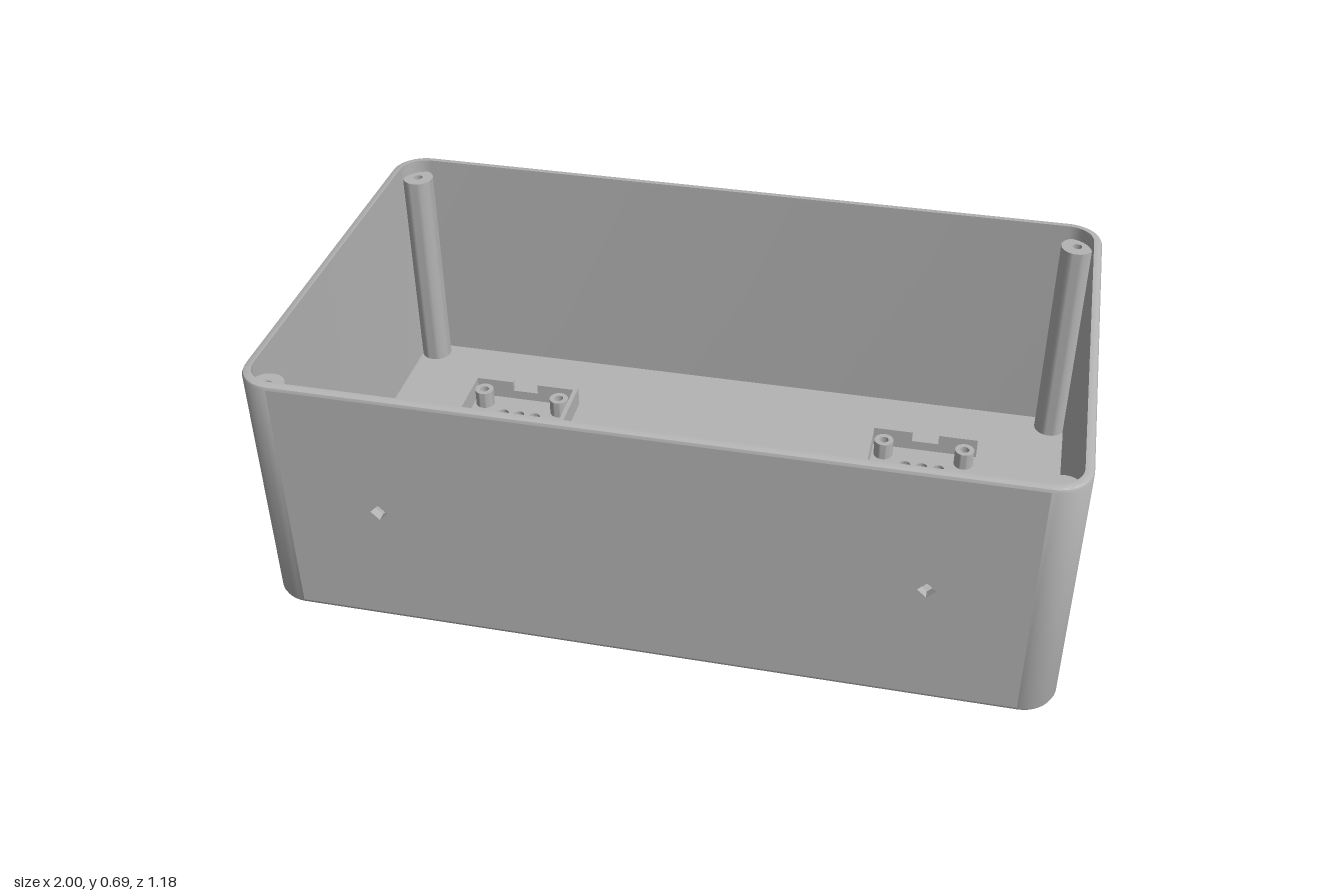
import * as THREE from 'three';
import { toCreasedNormals } from 'three/addons/utils/BufferGeometryUtils.js';

const W = 1, D = 0.59, H = 0.685, R = 0.09;   // half width, half depth, height, corner radius
const WALL = 0.022, FLOOR = 0.04, BEVEL = 0.013;
const N = 10;                                 // segments per rounded corner

// Rounded rectangle, pulled in by an inset
function outline(inset) {
  const pts = [], r = R - inset;
  [[1, 1], [-1, 1], [-1, -1], [1, -1]].forEach(([sx, sy], c) => {
    for (let i = 0; i <= N; i++) {
      const a = (c + i / N) * Math.PI / 2;
      pts.push(new THREE.Vector2(sx * (W - R) + r * Math.cos(a), sy * (D - R) + r * Math.sin(a)));
    }
  });
  return pts;
}

function circle(x, y, r, sides) {
  const pts = [];
  for (let i = 0; i < sides; i++) {
    const a = i / sides * Math.PI * 2;
    pts.push(new THREE.Vector2(x + r * Math.cos(a), y + r * Math.sin(a)));
  }
  return pts;
}

function plate(points, holes, depth) {
  const shape = new THREE.Shape(points);
  holes.forEach(h => shape.holes.push(new THREE.Path(h)));
  return toCreasedNormals(new THREE.ExtrudeGeometry(shape, { depth, bevelEnabled: false }), 0.7);
}

// Outer skin, rim and inner skin; the flat front is left open for the drilled panel
function shellGeometry() {
  const profile = [[BEVEL, 0], [0.004, 0.004], [0, BEVEL], [0, H - 0.01], [0.003, H - 0.003],
    [0.009, H], [WALL, H], [WALL, H - 0.01], [WALL, FLOOR - 0.01]];
  const rings = profile.map(([inset, y]) => outline(inset).map(p => [p.x, y, p.y]));
  const pos = [], n = rings[0].length;
  for (let j = 0; j < rings.length - 1; j++) {
    for (let i = 0; i < n; i++) {
      if (i === N && (j === 2 || j === 7)) continue;
      const k = (i + 1) % n;
      const a = rings[j][i], b = rings[j + 1][i], c = rings[j + 1][k], d = rings[j][k];
      pos.push(...a, ...b, ...d, ...b, ...c, ...d);
    }
  }
  const g = new THREE.BufferGeometry();
  g.setAttribute('position', new THREE.Float32BufferAttribute(pos, 3));
  g.computeVertexNormals();
  return toCreasedNormals(g, 0.6);
}

export function createModel() {
  const model = new THREE.Group();
  model.name = 'speakerEnclosure';
  const grey = new THREE.MeshStandardMaterial({ color: 0xb4b4b4 });
  grey.name = 'grey plastic';

  function add(parent, name, geometry, x = 0, y = 0, z = 0) {
    const mesh = new THREE.Mesh(geometry, grey);
    mesh.name = name;
    mesh.position.set(x, y, z);
    parent.add(mesh);
    return mesh;
  }

  // Hollow screw post standing on the floor
  function addPost(parent, name, x, z, r, top) {
    const base = FLOOR - 0.005;
    const g = plate(circle(0, 0, r, 28), [circle(0, 0, 0.013, 16)], top - base);
    g.rotateX(-Math.PI / 2);
    add(parent, name, g, x, base, z);
  }

  add(model, 'walls', shellGeometry());

  // Front panel with two diamond cable holes
  const px = W - R, y0 = BEVEL, y1 = H - 0.01;
  const corners = [[-px, y0], [px, y0], [px, y1], [-px, y1]].map(p => new THREE.Vector2(...p));
  add(model, 'frontPanel',
    plate(corners, [-1, 1].map(s => circle(s * 0.667, 0.345, 0.022, 4)), WALL), 0, 0, D - WALL);

  // Floor with the centre opening and two perforated grilles
  const gx = 0.593, pitch = 0.0476;
  const holes = [circle(0, 0, 0.214, 64)];
  for (const s of [-1, 1]) {
    for (let row = 0; row < 12; row++) {
      const reach = row === 0 || row === 11 ? 1 : 2;
      for (let col = -reach; col <= reach; col++) {
        holes.push(circle(s * gx + col * pitch, (row - 5.5) * pitch, 0.0165, 14));
      }
    }
  }
  const floor = plate(outline(BEVEL), holes, FLOOR);
  floor.rotateX(-Math.PI / 2);
  add(model, 'floor', floor);

  // Lid screw posts, one in each corner
  for (const sx of [-1, 1]) {
    for (const sz of [-1, 1]) addPost(model, 'lidPost', sx * 0.938, sz * 0.528, 0.043, H - 0.037);
  }

  // Raised speaker frames with notched ends and four small posts each
  const hx = 0.16, hz = 0.352, t = 0.013, fh = 0.06, notch = 0.0375;
  for (const s of [-1, 1]) {
    const frame = new THREE.Group();
    frame.name = 'speakerFrame';
    frame.position.x = s * gx;
    model.add(frame);
    for (const e of [-1, 1]) {
      const y = FLOOR + fh / 2 - 0.002;
      add(frame, 'frameSide', new THREE.BoxGeometry(t, fh, hz * 2), e * (hx - t / 2), y, 0);
      for (const q of [-1, 1]) {
        const len = hx - t - notch;
        add(frame, 'frameEnd', new THREE.BoxGeometry(len, fh, t), q * (notch + len / 2), y, e * (hz - t / 2));
        addPost(frame, 'speakerPost', e * 0.114, q * 0.3, 0.027, FLOOR + 0.05);
      }
      add(frame, 'frameNotch', new THREE.BoxGeometry(notch * 2, fh / 2, t), 0, FLOOR + fh / 4 - 0.002, e * (hz - t / 2));
    }
  }
  return model;
}
